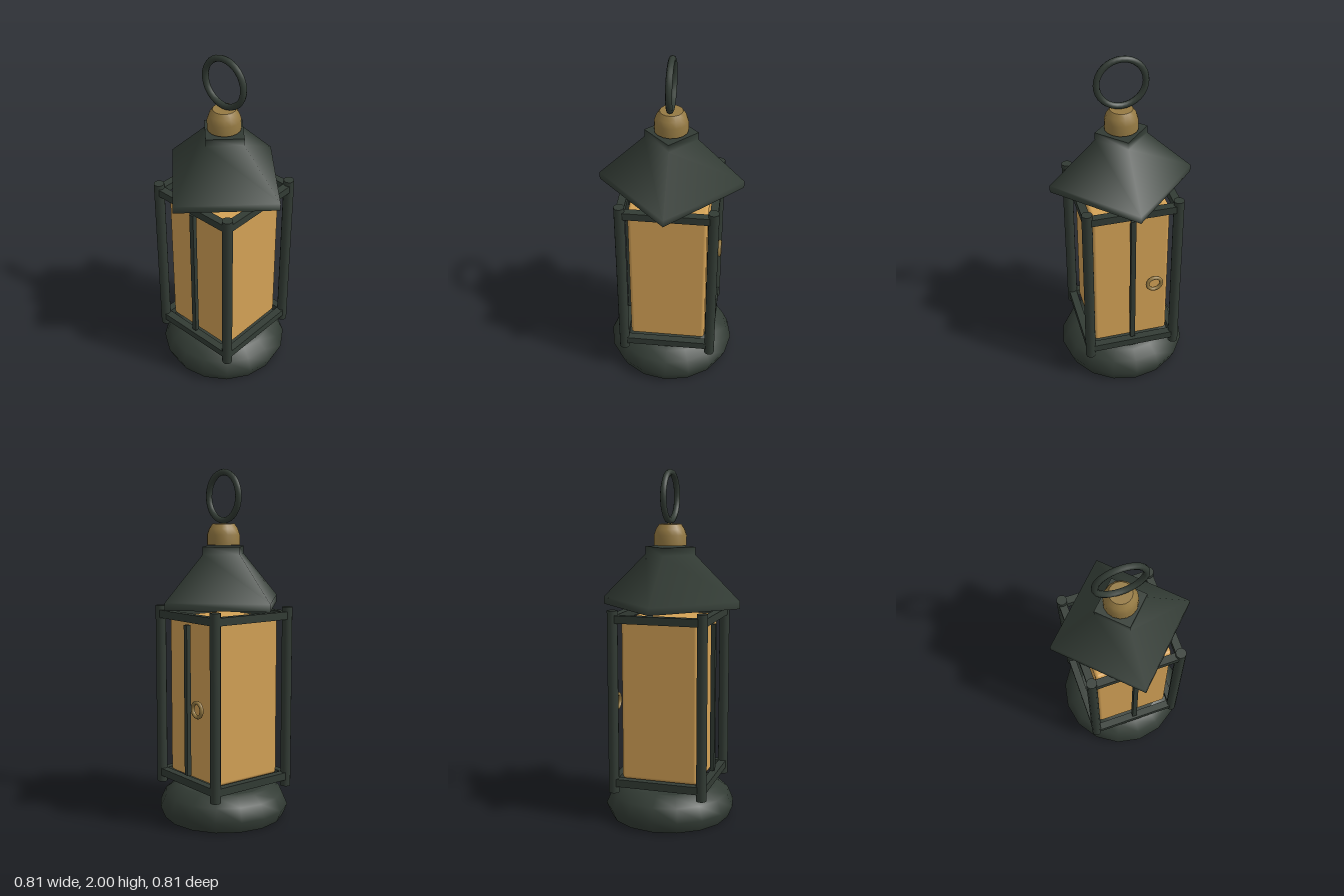
import * as THREE from 'three';
import { RoundedBoxGeometry } from 'three/addons/geometries/RoundedBoxGeometry.js';

export function createModel() {
  const model = new THREE.Group();
  model.name = 'lantern';

  const mat = (name, color) => {
    const m = new THREE.MeshStandardMaterial({ color });
    m.name = name;
    return m;
  };
  const iron = mat('dark iron', 0x323b34);
  const brass = mat('aged brass', 0x957a43);
  const glow = mat('amber glass', 0xd4a256);

  const add = (name, geometry, material, x = 0, y = 0, z = 0) => {
    const mesh = new THREE.Mesh(geometry, material);
    mesh.name = name;
    mesh.position.set(x, y, z);
    model.add(mesh);
    return mesh;
  };

  // Turned part from a bottom-to-top profile, closed by flat caps
  const turned = (name, profile, sides, material) => {
    const points = profile.map(([r, y]) => new THREE.Vector2(r, y));
    add(name, new THREE.LatheGeometry(points, sides), material);
    const cap = (label, [r, y], tilt) => {
      const disc = new THREE.CircleGeometry(r, sides).rotateX(tilt);
      add(name + label, disc, material, 0, y, 0);
    };
    cap('Underside', profile[0], Math.PI / 2);
    cap('Top', profile[profile.length - 1], -Math.PI / 2);
  };

  // Base
  turned('base', [[0.35, 0], [0.378, 0.065], [0.345, 0.14], [0.285, 0.18], [0.26, 0.19]], 16, iron);

  // Four-sided roof with its corners on the axes
  turned('roof', [[0.407, 1.23], [0.407, 1.272], [0.147, 1.527], [0.147, 1.57]], 4, iron);

  // Finial and carrying ring
  turned('finial', [[0.093, 1.578], [0.093, 1.635], [0.082, 1.668], [0.063, 1.696]], 16, brass);
  add('carryingRing', new THREE.TorusGeometry(0.134, 0.018, 8, 32), iron, 0, 1.848, 0);

  // Glowing glass body
  add('glass', new RoundedBoxGeometry(0.444, 0.92, 0.444, 3, 0.02), glow, 0, 0.71, 0);

  // Corner posts
  const corner = 0.258;
  for (const sx of [-1, 1]) {
    for (const sz of [-1, 1]) {
      add('cornerPost', new THREE.CylinderGeometry(0.03, 0.03, 1.05, 12), iron, sx * corner, 0.705, sz * corner);
    }
  }

  // Upper and lower rails on all four sides
  for (const y of [0.24, 1.182]) {
    for (const s of [-1, 1]) {
      add('crossRail', new THREE.BoxGeometry(0.52, 0.044, 0.044), iron, 0, y, s * corner);
      add('sideRail', new THREE.BoxGeometry(0.044, 0.044, 0.52), iron, s * corner, y, 0);
    }
  }

  // Centre bars on the front and back
  for (const s of [-1, 1]) {
    add('centreBar', new THREE.BoxGeometry(0.028, 0.865, 0.026), iron, 0, 0.708, s * 0.257);
  }

  // Ring pull on the back door
  add('doorPull', new THREE.TorusGeometry(0.041, 0.011, 8, 20), brass, -0.123, 0.682, -0.281);

  return model;
}
